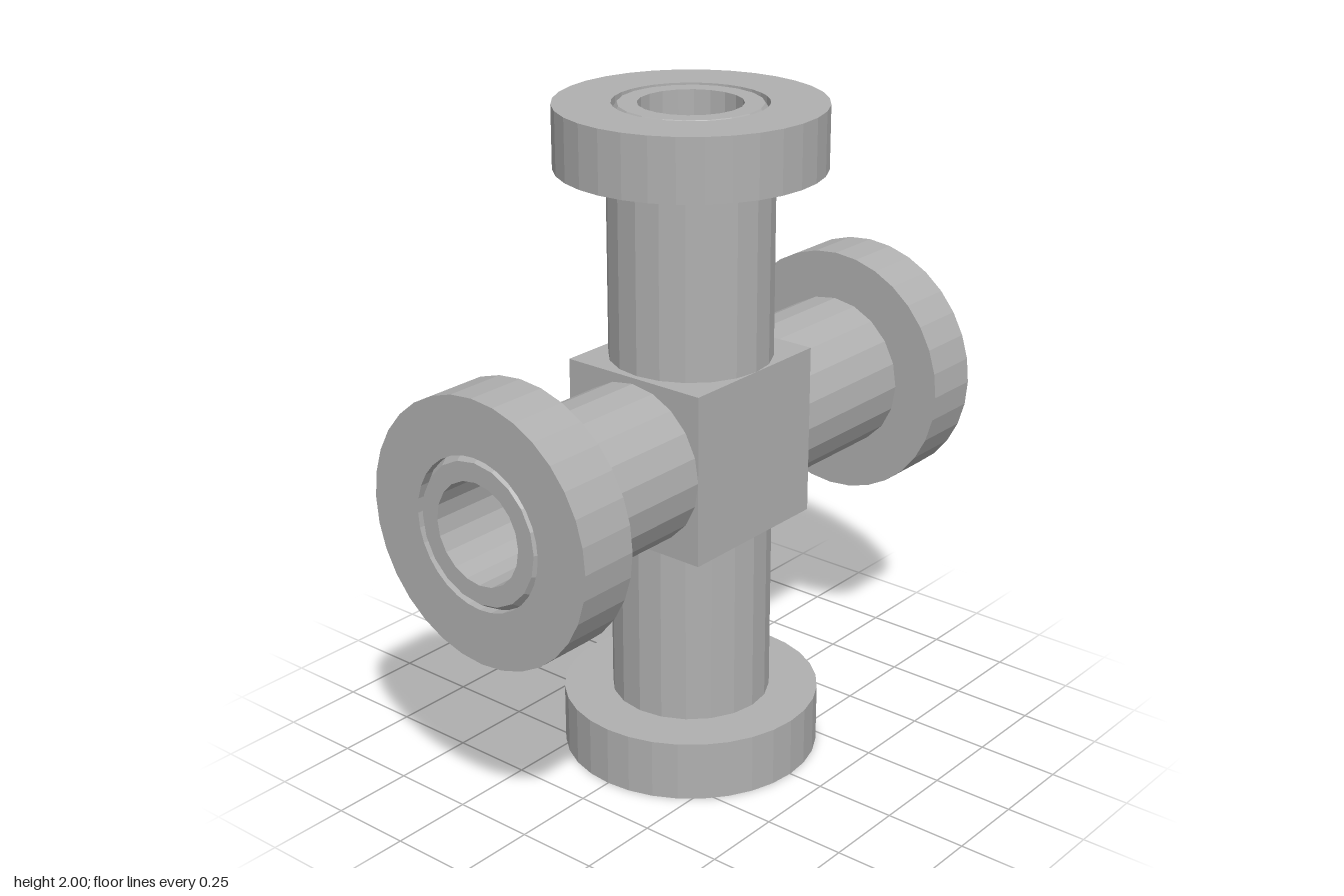
import * as THREE from 'three';

const HALF = 0.258;   // core block half size in y and z
const SIDE = 0.24;    // core block half width in x
const BORE = 0.15;    // through bore radius
const FLANGE = 0.183; // flange thickness

export function createModel() {
  const steel = new THREE.MeshStandardMaterial({ color: 0xb0b0b0 });
  const model = new THREE.Group();
  model.name = 'crossFitting';

  // Adds a mesh with faceted normals
  const add = (parent, name, geometry) => {
    const flat = geometry.index ? geometry.toNonIndexed() : geometry;
    flat.computeVertexNormals();
    const mesh = new THREE.Mesh(flat, steel);
    mesh.name = name;
    parent.add(mesh);
    return mesh;
  };
  const lathe = (points, sides) =>
    new THREE.LatheGeometry(points.map(([r, y]) => new THREE.Vector2(r, y)), sides);

  // Block face with a round opening, facing +y
  const blockFace = () => {
    const shape = new THREE.Shape([
      new THREE.Vector2(-SIDE, -HALF), new THREE.Vector2(SIDE, -HALF),
      new THREE.Vector2(SIDE, HALF), new THREE.Vector2(-SIDE, HALF),
    ]);
    shape.holes.push(new THREE.Path().absarc(0, 0, 0.2, 0, Math.PI * 2, true));
    return new THREE.ShapeGeometry(shape, 20).rotateX(-Math.PI / 2).translate(0, HALF, 0);
  };

  // Bore wall, mitred at its inner end where the two bores cross
  const boreWall = (length) => {
    const geometry = lathe([[BORE, length], [BORE, 0]], 20);
    const p = geometry.attributes.position;
    for (let i = 0; i < p.count; i++) {
      if (p.getY(i) < 0.001) p.setY(i, Math.abs(p.getZ(i)));
    }
    return geometry;
  };

  // One arm pointing along +y: block face, pipe, flange and bored pipe end
  const makeArm = (name, length, angle) => {
    const arm = new THREE.Group();
    arm.name = name;
    const inner = length - FLANGE;
    add(arm, 'blockFace', blockFace());
    add(arm, 'pipe', lathe([[0.24, HALF - 0.01], [0.24, inner + 0.01]], 20));
    add(arm, 'flange', lathe([
      [0.22, inner], [0.388, inner], [0.388, length], [0.222, length], [0.222, length - 0.04],
    ], 32));
    add(arm, 'chamferedPipeEnd', lathe([
      [0.232, length - 0.04], [0.206, length - 0.002], [BORE, length - 0.002],
    ], 20));
    add(arm, 'bore', boreWall(length - 0.002));
    arm.rotation.x = angle;
    arm.position.y = 1;
    model.add(arm);
  };
  makeArm('topArm', 1, 0);
  makeArm('frontArm', 0.89, Math.PI / 2);
  makeArm('bottomArm', 1, Math.PI);
  makeArm('backArm', 0.89, -Math.PI / 2);

  // Plain sides of the core block
  for (const side of [1, -1]) {
    const face = new THREE.PlaneGeometry(HALF * 2, HALF * 2).rotateY(side * Math.PI / 2);
    add(model, side > 0 ? 'leftBlockSide' : 'rightBlockSide', face).position.set(side * SIDE, 1, 0);
  }
  return model;
}
